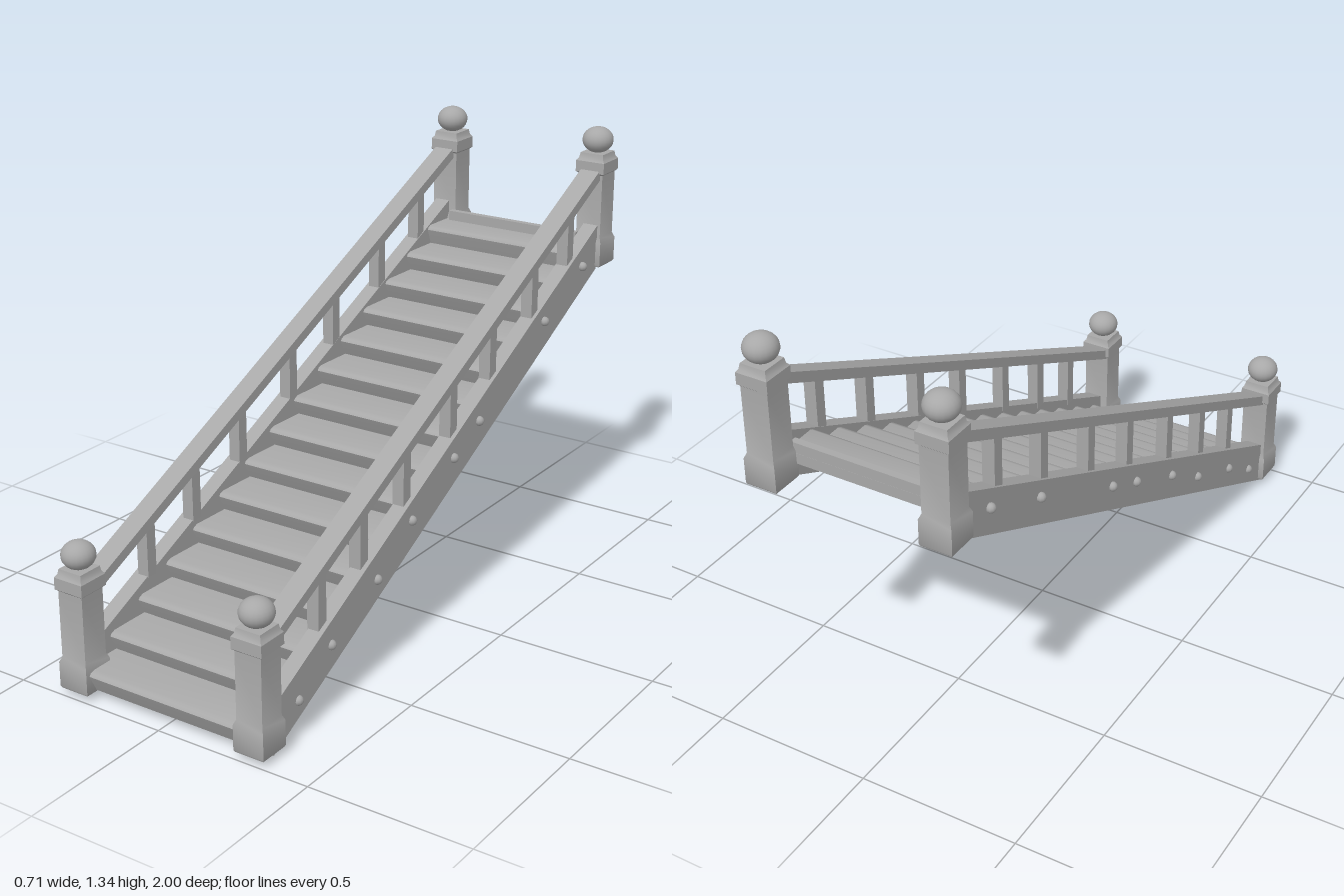
import * as THREE from 'three';
import { toCreasedNormals } from 'three/addons/utils/BufferGeometryUtils.js';

const lerp = THREE.MathUtils.lerp;
const SLOPE = 0.48;

export function createModel() {
  const group = new THREE.Group();
  const grey = new THREE.MeshStandardMaterial({ color: 0xa8a8a8 });
  grey.name = 'grey';

  function add(name, geometry, x = 0, y = 0, z = 0) {
    const mesh = new THREE.Mesh(geometry, grey);
    mesh.name = name;
    mesh.position.set(x, y, z);
    group.add(mesh);
  }

  // Shear a unit box into a sloping beam running from front a to back b
  function beam(a, b, width, height) {
    const geometry = new THREE.BoxGeometry(1, 1, 1);
    const p = geometry.attributes.position;
    for (let i = 0; i < p.count; i++) {
      const t = 0.5 - p.getZ(i);
      p.setXYZ(i,
        lerp(a[0], b[0], t) + p.getX(i) * width,
        lerp(a[1], b[1], t) + p.getY(i) * height,
        lerp(a[2], b[2], t));
    }
    geometry.computeVertexNormals();
    return geometry;
  }

  // The flight narrows towards the top
  const sideX = (z) => lerp(0.285, 0.311, (z + 0.9) / 1.83);

  // Square post: plinth, shaft and cap, turned from a four-sided profile
  const profile = [
    [0, 0], [0.047, 0], [0.05, 0.006], [0.05, 0.082], [0.043, 0.098], [0.043, 0.303],
    [0.05, 0.309], [0.05, 0.345], [0.043, 0.354], [0.04, 0.37], [0, 0.37],
  ].map(([r, y]) => new THREE.Vector2(r * Math.SQRT2, y));
  const postGeo = toCreasedNormals(new THREE.LatheGeometry(profile, 4, Math.PI / 4), 0.5);
  const ballGeo = new THREE.SphereGeometry(0.05, 20, 14);
  ballGeo.scale(1, 0.84, 1);

  const knobGeo = new THREE.SphereGeometry(0.015, 10, 8);
  const balusterZ = [0.671, 0.463, 0.238, -0.019, -0.249, -0.505, -0.735];
  const knobs = [[0.81, 0.112], [0.65, 0.208], [0.417, 0.31], [0.233, 0.422],
    [0, 0.535], [-0.147, 0.604], [-0.548, 0.805], [-0.797, 0.92]];

  for (const s of [1, -1]) {
    const side = s > 0 ? 'left' : 'right';

    // Newel posts with ball finials
    for (const [level, x, y, z] of [['bottom', 0.307, 0.02, 0.948], ['top', 0.273, 0.892, -0.947]]) {
      add(`${side} ${level} post`, postGeo, s * x, y, z);
      add(`${side} ${level} finial`, ballGeo, s * x, y + 0.409, z);
    }

    // Stringer and handrail
    add(`${side} stringer`, beam([s * 0.314, 0.0725, 0.93], [s * 0.281, 0.958, -0.905], 0.05, 0.145));
    add(`${side} handrail`, beam([s * 0.302, 0.327, 0.92], [s * 0.274, 1.203, -0.92], 0.066, 0.034));

    // Balusters between stringer and handrail
    for (const z of balusterZ) {
      const low = 0.58 - SLOPE * z, high = 0.764 - SLOPE * z;
      add(`${side} baluster`, new THREE.BoxGeometry(0.038, high - low, 0.037),
        s * (sideX(z) - 0.007), (low + high) / 2, z);
    }

    // Round studs on the outer face of the stringer
    for (const [z, y] of knobs) add(`${side} stud`, knobGeo, s * (sideX(z) + 0.027), y, z);
  }

  // Steps: rounded nose, slightly raked riser and a wedge-shaped underside
  const section = new THREE.Shape([
    [-0.165, 0], [-0.02, 0], [-0.006, -0.005], [0, -0.013], [-0.004, -0.022],
    [-0.026, -0.066], [-0.05, -0.066], [-0.165, -0.018],
  ].map(([z, y]) => new THREE.Vector2(z, y)));
  for (let i = 0; i < 15; i++) {
    const z = 0.985 - i * 0.1257, w = 2 * sideX(z) - 0.048;
    // The topmost tread stops at the landing beam
    const geo = new THREE.ExtrudeGeometry(section, { depth: w, bevelEnabled: false });
    geo.translate(0, 0, -w / 2);
    geo.rotateY(-Math.PI / 2);
    if (i === 14) geo.scale(1, 1, 0.78);
    add('step', toCreasedNormals(geo, 0.8), 0, 0.092 + i * 0.0627, z);
  }

  // Beam closing the top landing
  add('landing beam', new THREE.BoxGeometry(0.48, 0.065, 0.022), 0, 0.969, -0.892);

  return group;
}
